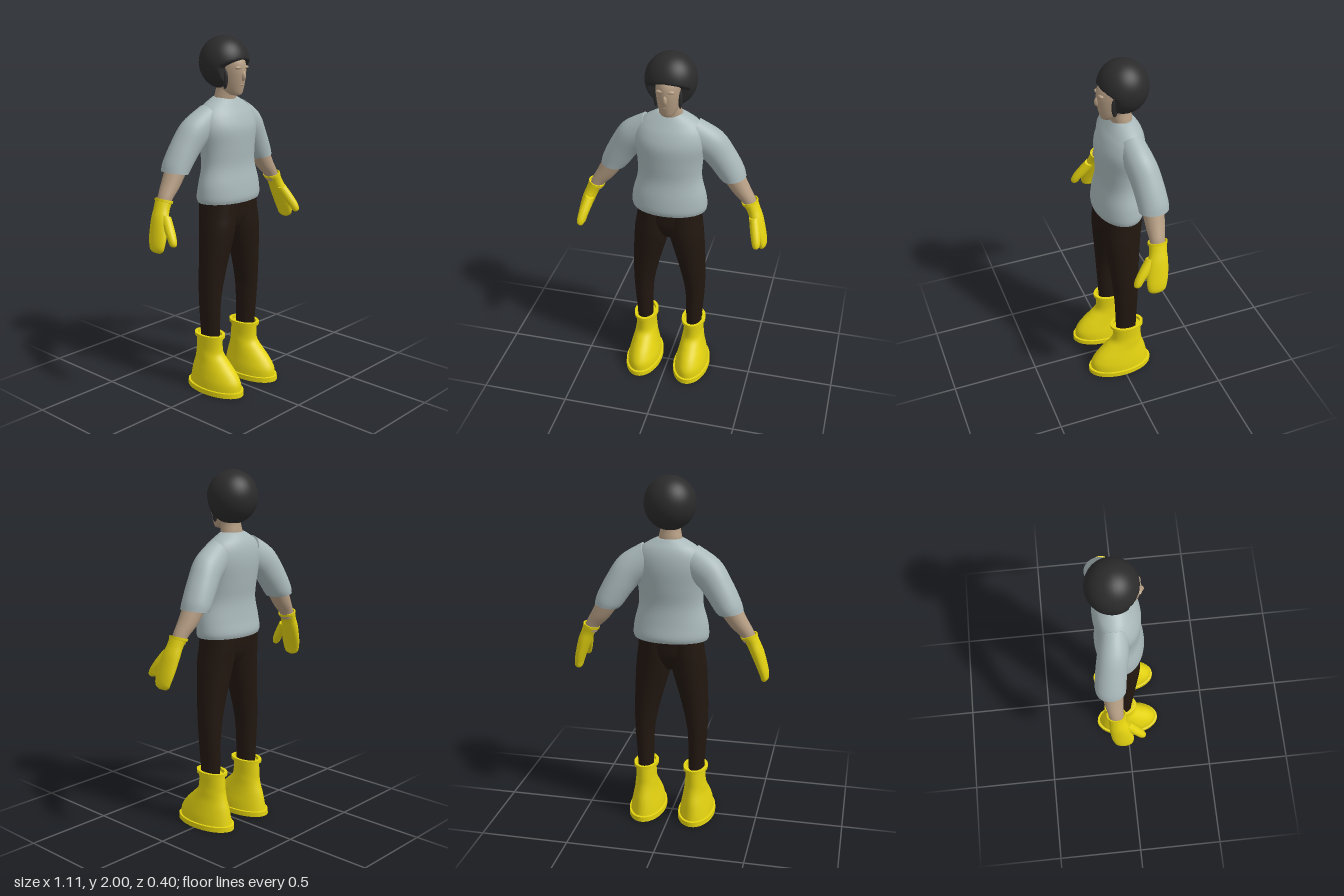
import * as THREE from 'three';
import { toCreasedNormals } from 'three/addons/utils/BufferGeometryUtils.js';

const mat = (color) => new THREE.MeshStandardMaterial({ color, side: THREE.DoubleSide });
const skin = mat(0xb59d83), shirt = mat(0xa9b8ba), pants = mat(0x221710);
const yellow = mat(0xe3d210), hair = mat(0x2b2b2b);

// Loft through elliptical rings listed from bottom to top.
// Ring: [centre x, y, z, in-plane axis x, y, half depth z]
function loft(rings, { steps = 5, smooth = true, capTop = true, sides = 36 } = {}) {
  const rows = [];
  const at = (i) => rings[Math.min(Math.max(i, 0), rings.length - 1)];
  const n = smooth ? steps : 1;
  for (let i = 0; i < rings.length - 1; i++) {
    for (let s = 0; s < n; s++) {
      const t = s / n;
      rows.push(rings[i].map((b, k) => {
        const a = at(i - 1)[k], c = at(i + 1)[k], d = at(i + 2)[k];
        return b + 0.5 * t * (c - a + t * (2 * a - 5 * b + 4 * c - d + t * (3 * (b - c) + d - a)));
      }));
    }
  }
  rows.push(rings[rings.length - 1]);
  const pos = [], index = [];
  const addRing = ([x, y, z, ax, ay, bz]) => {
    for (let j = 0; j < sides; j++) {
      const c = Math.cos(j / sides * Math.PI * 2), s = Math.sin(j / sides * Math.PI * 2);
      pos.push(x + ax * c, y + ay * c, z + bz * s);
    }
  };
  rows.forEach(addRing);
  for (let i = 0; i < rows.length - 1; i++) {
    for (let j = 0; j < sides; j++) {
      const a = i * sides + j, b = i * sides + (j + 1) % sides;
      index.push(a, a + sides, b, b, a + sides, b + sides);
    }
  }
  const cap = (row, top) => {
    const start = pos.length / 3;
    addRing(row);
    pos.push(row[0], row[1], row[2]);
    for (let j = 0; j < sides; j++) {
      const a = start + j, b = start + (j + 1) % sides;
      index.push(start + sides, top ? b : a, top ? a : b);
    }
  };
  cap(rows[0], false);
  if (capTop) cap(rows[rows.length - 1], true);
  const g = new THREE.BufferGeometry();
  g.setAttribute('position', new THREE.Float32BufferAttribute(pos, 3));
  g.setIndex(index);
  g.computeVertexNormals();
  return smooth ? g : toCreasedNormals(g, 0.7);
}

// Copy of a geometry reflected in x, with its faces turned back outwards
function mirrored(geometry) {
  const g = geometry.index ? geometry.toNonIndexed() : geometry.clone();
  g.scale(-1, 1, 1);
  for (const attr of Object.values(g.attributes)) {
    for (let i = 0; i < attr.count; i += 3) {
      for (let k = 0; k < 3; k++) {
        const v = attr.getComponent(i + 1, k);
        attr.setComponent(i + 1, k, attr.getComponent(i + 2, k));
        attr.setComponent(i + 2, k, v);
      }
    }
  }
  return g;
}

function ellipsoid(x, y, z, rx, ry, rz, w = 24, h = 16) {
  return new THREE.SphereGeometry(1, w, h).scale(rx, ry, rz).translate(x, y, z);
}

export function createModel() {
  const model = new THREE.Group();
  const add = (name, geometry, material) => {
    const m = new THREE.Mesh(geometry, material);
    m.name = name;
    model.add(m);
  };
  const addPair = (name, geometry, material) => {
    add('left' + name, geometry, material);
    add('right' + name, mirrored(geometry), material);
  };

  // Shirt
  add('shirtBody', loft([
    [0, 1.10, -0.03, 0.207, 0, 0.132], [0, 1.13, -0.03, 0.213, 0, 0.138],
    [0, 1.20, -0.028, 0.205, 0, 0.128], [0, 1.30, -0.032, 0.18, 0, 0.115],
    [0, 1.40, -0.037, 0.183, 0, 0.122], [0, 1.50, -0.042, 0.20, 0, 0.127],
    [0, 1.57, -0.052, 0.19, 0, 0.113], [0, 1.62, -0.06, 0.155, 0, 0.09],
    [0, 1.655, -0.06, 0.10, 0, 0.066], [0, 1.668, -0.06, 0.072, 0, 0.056],
  ]), shirt);
  addPair('Sleeve', loft([
    [0.343, 1.287, -0.105, 0.068, 0.012, 0.08], [0.325, 1.325, -0.105, 0.069, 0.03, 0.083],
    [0.275, 1.41, -0.095, 0.068, 0.046, 0.083], [0.215, 1.49, -0.08, 0.058, 0.07, 0.082],
    [0.12, 1.55, -0.065, 0.035, 0.085, 0.075],
  ]), shirt);

  // Trousers
  add('hips', loft([
    [0, 0.92, -0.025, 0.05, 0, 0.05], [0, 0.96, -0.025, 0.12, 0, 0.08],
    [0, 1.02, -0.03, 0.175, 0, 0.104], [0, 1.12, -0.035, 0.178, 0, 0.114],
  ]), pants);
  addPair('Leg', loft([
    [0.15, 0.27, -0.034, 0.045, 0, 0.06], [0.15, 0.35, -0.033, 0.046, 0, 0.062],
    [0.153, 0.55, -0.03, 0.057, 0, 0.07], [0.134, 0.73, -0.025, 0.077, 0, 0.082],
    [0.101, 0.93, -0.023, 0.10, 0, 0.102], [0.088, 1.03, -0.03, 0.10, 0, 0.108],
    [0.08, 1.12, -0.035, 0.098, 0, 0.112],
  ]), pants);

  // Boots: body, sole and hollow collar
  addPair('Boot', loft([
    [0.147, 0.02, 0.005, 0.097, 0, 0.181], [0.147, 0.07, 0.007, 0.091, 0, 0.174],
    [0.147, 0.12, -0.004, 0.08, 0, 0.152], [0.146, 0.17, -0.022, 0.069, 0, 0.118],
    [0.146, 0.21, -0.038, 0.063, 0, 0.093], [0.146, 0.25, -0.042, 0.058, 0, 0.087],
    [0.146, 0.315, -0.04, 0.057, 0, 0.086],
  ], { capTop: false }), yellow);
  addPair('BootSole', loft([
    [0.147, 0, 0.005, 0.107, 0, 0.195], [0.147, 0.028, 0.005, 0.106, 0, 0.194],
    [0.147, 0.03, 0.005, 0.09, 0, 0.175],
  ], { smooth: false }), yellow);
  addPair('BootCollar', loft([
    [0.146, 0.31, -0.04, 0.055, 0, 0.084], [0.146, 0.312, -0.04, 0.07, 0, 0.10],
    [0.146, 0.33, -0.04, 0.07, 0, 0.10], [0.146, 0.33, -0.04, 0.053, 0, 0.082],
    [0.146, 0.27, -0.04, 0.053, 0, 0.082],
  ], { smooth: false }), yellow);

  // Forearms and mittens
  addPair('Forearm', loft([
    [0.447, 1.13, -0.088, 0.034, 0.012, 0.04], [0.43, 1.17, -0.09, 0.036, 0.015, 0.042],
    [0.385, 1.23, -0.096, 0.045, 0.022, 0.052], [0.33, 1.32, -0.10, 0.053, 0.028, 0.06],
  ]), skin);
  addPair('Mitten', loft([
    [0.533, 0.89, -0.055, 0.010, 0.003, 0.024], [0.533, 0.903, -0.055, 0.020, 0.006, 0.044],
    [0.529, 0.93, -0.056, 0.024, 0.008, 0.054], [0.515, 0.98, -0.062, 0.028, 0.010, 0.06],
    [0.488, 1.06, -0.073, 0.034, 0.012, 0.057], [0.465, 1.115, -0.082, 0.035, 0.012, 0.048],
    [0.441, 1.16, -0.088, 0.041, -0.013 + 0.027, 0.05],
  ], { capTop: false }), yellow);
  addPair('MittenCuff', loft([
    [0.446, 1.146, -0.087, 0.038, 0.013, 0.047], [0.445, 1.148, -0.087, 0.044, 0.014, 0.053],
    [0.441, 1.161, -0.088, 0.045, 0.014, 0.053], [0.441, 1.161, -0.088, 0.038, 0.012, 0.046],
    [0.448, 1.142, -0.087, 0.036, 0.012, 0.044],
  ], { smooth: false }), yellow);
  addPair('Thumb', loft([
    [0.512, 0.938, 0.047, 0.010, 0.003, 0.010], [0.510, 0.948, 0.046, 0.018, 0.006, 0.021],
    [0.504, 0.975, 0.034, 0.023, 0.008, 0.028], [0.492, 1.02, 0.002, 0.026, 0.009, 0.034],
    [0.473, 1.085, -0.045, 0.025, 0.009, 0.034],
  ]), yellow);

  // Neck, head and facial features
  add('neck', loft([
    [0, 1.61, -0.055, 0.072, 0, 0.055], [0, 1.67, -0.052, 0.064, 0, 0.057],
    [0, 1.72, -0.045, 0.054, 0, 0.058], [0, 1.78, -0.045, 0.054, 0, 0.06],
  ]), skin);
  add('head', loft([
    [0, 1.682, 0.025, 0.015, 0, 0.022], [0, 1.69, 0.02, 0.034, 0, 0.04],
    [0, 1.72, -0.01, 0.054, 0, 0.08], [0, 1.77, -0.02, 0.065, 0, 0.10],
    [0, 1.82, -0.025, 0.071, 0, 0.109], [0, 1.87, -0.03, 0.07, 0, 0.104],
    [0, 1.93, -0.04, 0.05, 0, 0.07],
  ]), skin);
  add('nose', ellipsoid(0, 1.79, 0.078, 0.013, 0.028, 0.018), skin);
  add('lips', ellipsoid(0, 1.741, 0.064, 0.022, 0.008, 0.012), skin);
  addPair('Brow', ellipsoid(0.027, 1.835, 0.07, 0.023, 0.009, 0.013), skin);

  // Round hair, pressed back below the fringe to open the face
  const hairGeo = ellipsoid(0, 1.855, -0.06, 0.14, 0.145, 0.137, 56, 48);
  const p = hairGeo.attributes.position;
  for (let i = 0; i < p.count; i++) {
    const y = p.getY(i);
    if (y < 1.885) {
      const limit = 0.01 + 0.07 * THREE.MathUtils.clamp((y - 1.84) / 0.04, 0, 1);
      p.setZ(i, Math.min(p.getZ(i), limit));
    }
  }
  hairGeo.computeVertexNormals();
  add('hair', hairGeo, hair);
  addPair('Sideburn', ellipsoid(0.066, 1.775, 0.008, 0.012, 0.055, 0.018), hair);

  return model;
}
